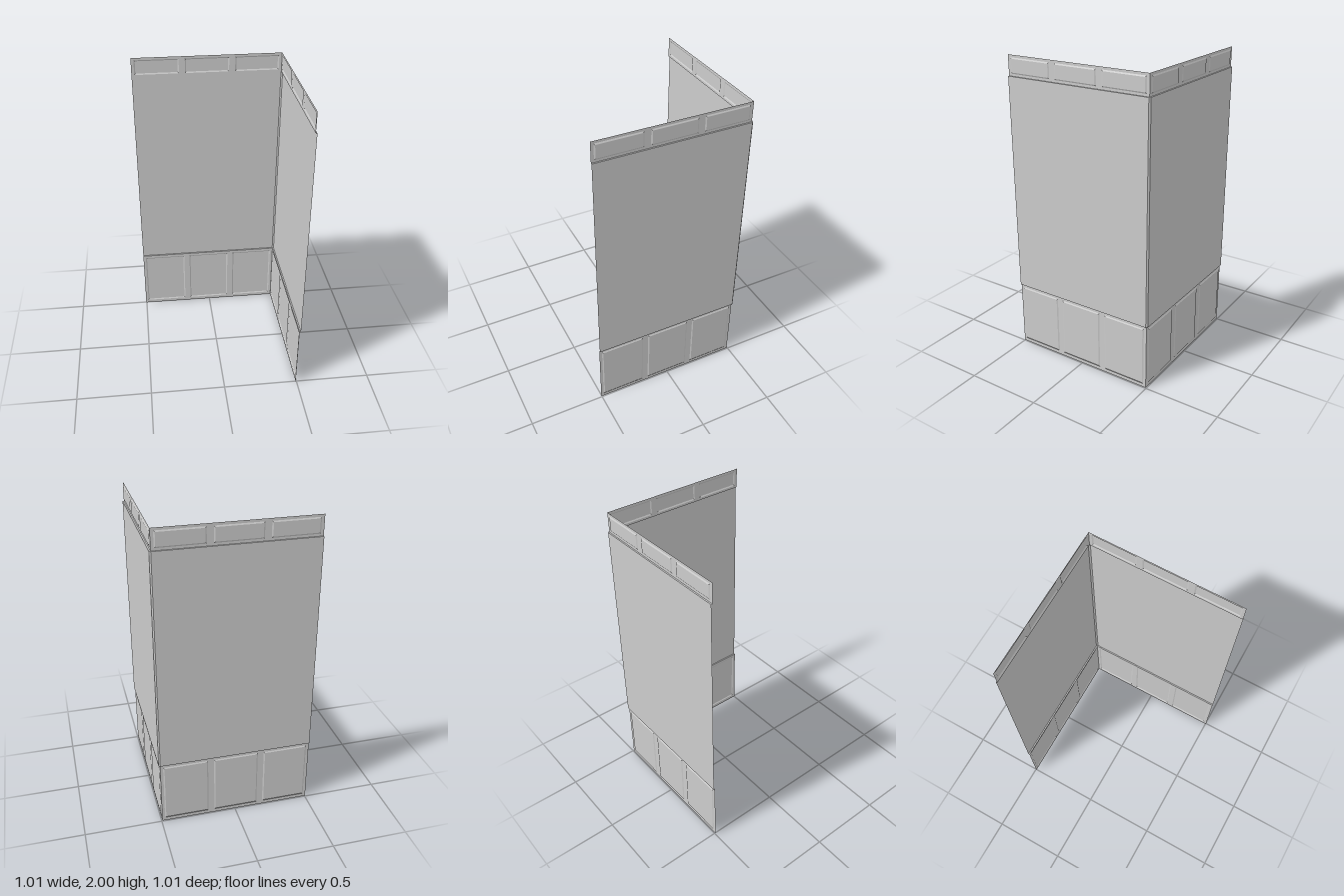
import * as THREE from 'three';

const END = 0.504;    // free ends of the walls
const TRIM = 0.495;   // plane of the trim sheets
const MAIN = 0.504;   // plane of the raised wall sheet
const LOW = 0.445, HIGH = 1.87, TOP = 2;
const WIDTH = END + TRIM;
const OFFSET = (END - TRIM) / 2;

const material = new THREE.MeshStandardMaterial({
  color: 0xcccccc, flatShading: true, side: THREE.DoubleSide,
});

// Geometry from rows of equally long point loops, joined by quads
function sheet(rows) {
  const n = rows[0].length;
  const index = [];
  for (let r = 0; r < rows.length - 1; r++) {
    for (let i = 0; i < n - 1; i++) {
      const a = r * n + i, b = a + 1, c = a + n, d = c + 1;
      index.push(a, b, d, a, d, c);
    }
  }
  const g = new THREE.BufferGeometry();
  g.setAttribute('position', new THREE.Float32BufferAttribute(rows.flat(2), 3));
  g.setIndex(index);
  g.computeVertexNormals();
  return g;
}

function addMesh(parent, name, geometry) {
  const mesh = new THREE.Mesh(geometry, material);
  mesh.name = name;
  parent.add(mesh);
  return mesh;
}

// Corners of a rectangle, counter-clockwise
const rect = (x0, y0, x1, y1) => [[x0, y0], [x1, y0], [x1, y1], [x0, y1]];
const toPath = (points, Type) => new Type(points.map(([x, y]) => new THREE.Vector2(x, y)));

// Flat band with three shallow panels pressed outwards (+z)
function trimBand(name, y0, y1, panelBottom, panelTop) {
  const band = new THREE.Group();
  band.name = name;
  const shape = toPath(rect(-WIDTH / 2, y0, WIDTH / 2, y1), THREE.Shape);
  const half = 0.147, bevel = 0.008, depth = 0.0045;
  for (const i of [-1, 0, 1]) {
    const x = i * 0.334;
    const outer = rect(x - half, panelBottom, x + half, panelTop);
    const inner = rect(x - half + bevel, panelBottom + bevel, x + half - bevel, panelTop - bevel);
    shape.holes.push(toPath(outer, THREE.Path));
    const loop = (pts, z) => [...pts, pts[0]].map(([px, py]) => [px, py, z]);
    addMesh(band, 'panelBevel', sheet([loop(outer, 0), loop(inner, depth)]));
    const face = new THREE.PlaneGeometry(2 * (half - bevel), panelTop - panelBottom - 2 * bevel);
    face.translate(x, (panelBottom + panelTop) / 2, depth);
    addMesh(band, 'panelFace', face);
  }
  addMesh(band, 'bandFrame', new THREE.ShapeGeometry(shape));
  return band;
}

function wallTrim(name) {
  const wall = new THREE.Group();
  wall.name = name;
  wall.add(trimBand('baseTrim', 0, LOW, 0.024, 0.425));
  wall.add(trimBand('topTrim', HIGH, TOP, 1.885, 1.984));
  return wall;
}

export function createModel() {
  const model = new THREE.Group();
  model.name = 'cornerWall';

  // Raised wall sheet wrapping the corner with a chamfer, with ledges above and below
  const outer = [[-END, -MAIN], [TRIM, -MAIN], [MAIN, -TRIM], [MAIN, END]];
  const inner = [[-END, -TRIM], [TRIM, -TRIM], [TRIM, -TRIM], [TRIM, END]];
  const row = (plan, y) => plan.map(([x, z]) => [x, y, z]);
  addMesh(model, 'wallSheet', sheet([
    row(inner, HIGH), row(outer, HIGH), row(outer, LOW), row(inner, LOW),
  ]));

  // Trim bands of the two walls
  const back = wallTrim('backWallTrim');
  back.rotation.y = Math.PI;
  back.position.set(-OFFSET, 0, -TRIM);
  const side = wallTrim('leftWallTrim');
  side.rotation.y = Math.PI / 2;
  side.position.set(TRIM, 0, OFFSET);
  model.add(back, side);

  return model;
}
